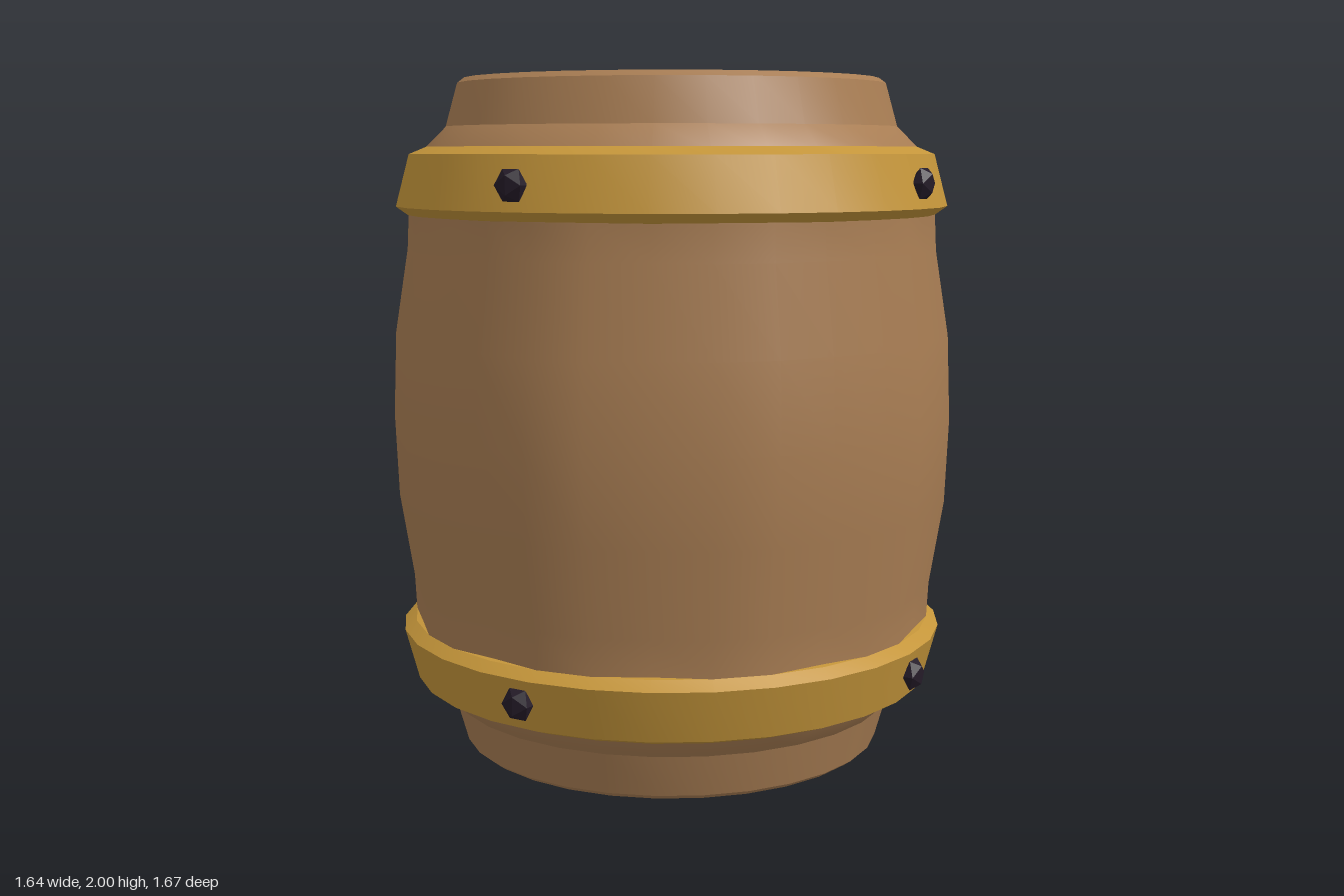
import * as THREE from 'three';
import { toCreasedNormals } from 'three/addons/utils/BufferGeometryUtils.js';

const STEP = Math.PI / 15; // 30 columns: ten staves of three columns each
const FLAT = Math.cos(STEP);

// Lathe whose third element per point scales the radius along the middle of each stave
function staveLathe(profile, crease = 0.5) {
  const geo = new THREE.LatheGeometry(profile.map(([r, y]) => new THREE.Vector2(r, y)), 30, STEP / 2);
  const pos = geo.attributes.position;
  const n = profile.length;
  for (let i = 0; i < pos.count; i++) {
    if (Math.floor(i / n) % 3 !== 1) continue;
    const k = profile[i % n][2] ?? 1;
    pos.setXYZ(i, pos.getX(i) * k, pos.getY(i), pos.getZ(i) * k);
  }
  geo.deleteAttribute('uv');
  return toCreasedNormals(geo, crease);
}

export function createModel() {
  const wood = new THREE.MeshStandardMaterial({ color: 0xa87d53 });
  const brass = new THREE.MeshStandardMaterial({ color: 0xc4953a });
  const darkWood = new THREE.MeshStandardMaterial({ color: 0x5e4230 });
  const iron = new THREE.MeshStandardMaterial({ color: 0x241b28 });
  iron.flatShading = true;

  const barrel = new THREE.Group();
  barrel.name = 'barrel';
  const add = (name, geo, mat) => {
    const mesh = new THREE.Mesh(geo, mat);
    mesh.name = name;
    barrel.add(mesh);
    return mesh;
  };

  // Staved body with rolled rims, open at both ends
  add('body', staveLathe([
    [0.56, 0.04], [0.58, 0], [0.615, 0], [0.635, 0.015], [0.67, 0.14], [0.74, 0.21],
    [0.78, 0.3, 0.99], [0.785, 0.4, FLAT], [0.79, 0.5, FLAT], [0.83, 0.75, FLAT], [0.84, 1, FLAT],
    [0.83, 1.25, FLAT], [0.79, 1.5, FLAT], [0.785, 1.6, FLAT], [0.78, 1.7, 0.99],
    [0.74, 1.79], [0.67, 1.86], [0.635, 1.985], [0.615, 2], [0.58, 2],
    [0.525, 1.975, 0.95], [0.51, 1.91, 0.95],
  ]), wood);

  // Recessed lid and bottom
  const disc = (name, r, y, turn) => {
    const mesh = add(name, new THREE.CircleGeometry(r, 30), darkWood);
    mesh.rotation.x = turn;
    mesh.position.y = y;
  };
  disc('lid', 0.54, 1.92, -Math.PI / 2);
  disc('bottom', 0.585, 0.012, Math.PI / 2);

  // Hoops, mirrored about the middle
  const hoop = [[0.74, 1.6], [0.785, 1.605], [0.82, 1.63], [0.78, 1.78], [0.72, 1.805]];
  add('upperHoop', staveLathe(hoop), brass);
  add('lowerHoop', staveLathe(hoop.map(([r, y]) => [r, 2 - y]).reverse()), brass);

  // Four studs on each hoop
  for (const y of [0.3, 1.7]) {
    for (let i = 0; i < 4; i++) {
      const a = Math.PI / 4 + (i * Math.PI) / 2;
      const stud = add('stud', new THREE.IcosahedronGeometry(0.05, 0), iron);
      stud.scale.z = 0.6;
      stud.rotation.y = a;
      stud.position.set(0.813 * Math.sin(a), y, 0.813 * Math.cos(a));
    }
  }
  return barrel;
}
